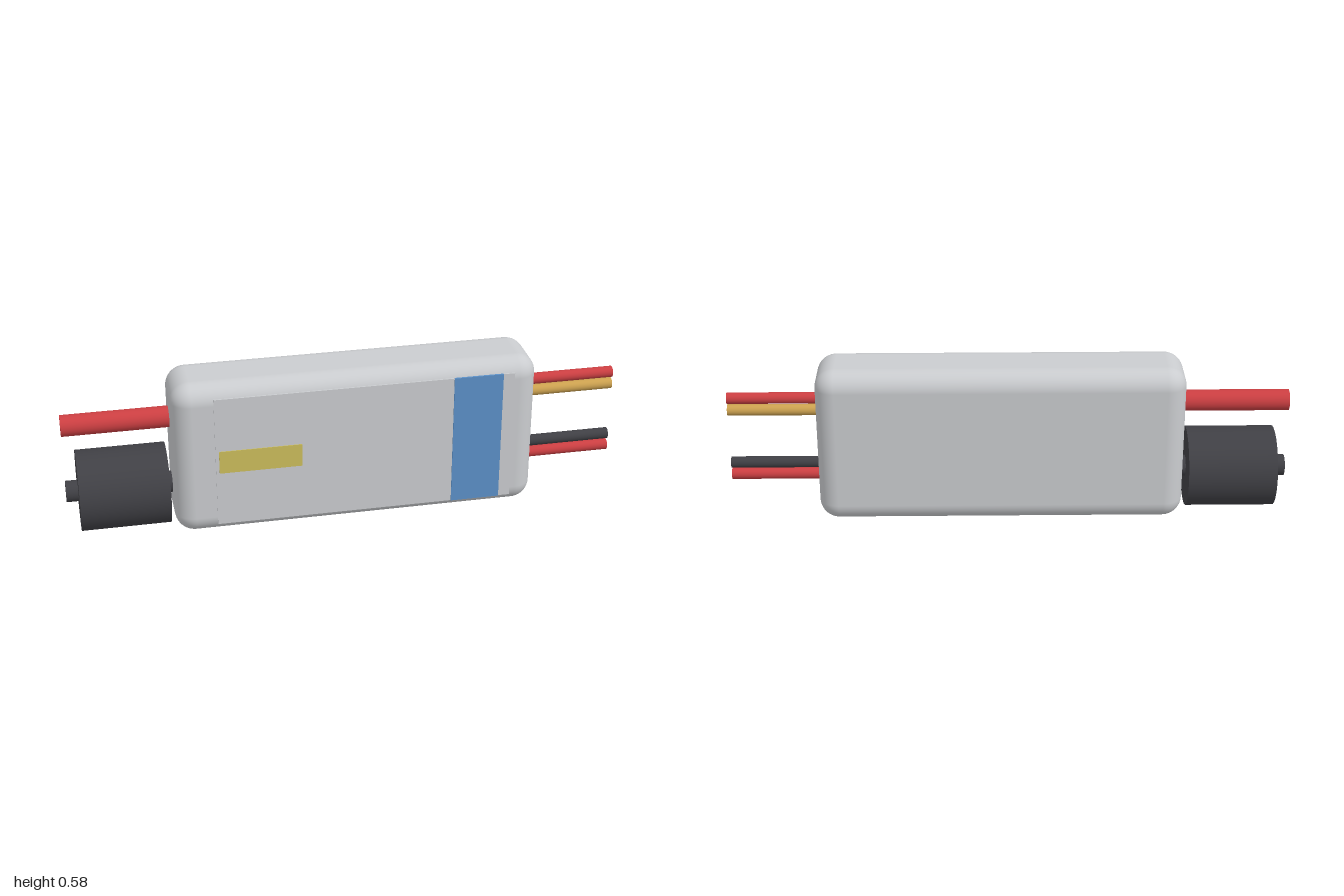
import * as THREE from 'three';
import { RoundedBoxGeometry } from 'three/addons/geometries/RoundedBoxGeometry.js';

const paint = (name, color) => {
  const m = new THREE.MeshStandardMaterial({ color });
  m.name = name;
  return m;
};

export function createModel() {
  const group = new THREE.Group();
  const shell = paint('shell grey', 0xcacccf);
  const red = paint('wire red', 0xcc3f42);
  const black = paint('rubber black', 0x404045);
  const gold = paint('wire gold', 0xcda250);
  const blue = paint('stripe blue', 0x5b90c8);
  const yellow = paint('tag yellow', 0xcbbd5c);

  const add = (name, geometry, material, x, y, z = 0) => {
    const mesh = new THREE.Mesh(geometry, material);
    mesh.name = name;
    mesh.position.set(x, y, z);
    group.add(mesh);
    return mesh;
  };

  // round bar along x from x0 to x1
  const bar = (name, material, radius, x0, x1, y, sides = 24) => {
    const geometry = new THREE.CylinderGeometry(radius, radius, x1 - x0, sides).rotateZ(Math.PI / 2);
    return add(name, geometry, material, (x0 + x1) / 2, y);
  };

  // thin plate on the front face, given by its edges
  const plate = (name, material, x0, x1, y0, y1, z0, z1) =>
    add(name, new THREE.BoxGeometry(x1 - x0, y1 - y0, z1 - z0), material,
      (x0 + x1) / 2, (y0 + y1) / 2, (z0 + z1) / 2);

  // rounded housing
  add('housing', new RoundedBoxGeometry(1.305, 0.578, 0.26, 6, 0.07), shell, 0.0275, 0.291);

  // front label with its coloured fields
  plate('label', shell, -0.48, 0.59, 0.045, 0.536, 0.128, 0.134);
  plate('labelStripe', blue, 0.37, 0.548, 0.045, 0.537, 0.13, 0.137);
  plate('labelTag', yellow, -0.468, -0.175, 0.25, 0.335, 0.13, 0.137);

  // thick leads on the left end of the front, with a ferrite ring on the lower one
  bar('redLead', red, 0.038, -1, -0.6, 0.423);
  bar('blackLead', black, 0.038, -1, -0.6, 0.162);
  bar('ferriteRing', black, 0.144, -0.957, -0.641, 0.162, 48);

  // thin leads on the opposite end
  [['upperRedWire', red, 0.441], ['goldWire', gold, 0.395],
    ['blackWire', black, 0.187], ['lowerRedWire', red, 0.141]]
    .forEach(([name, material, y]) => bar(name, material, 0.0205, 0.66, 1, y));

  return group;
}
